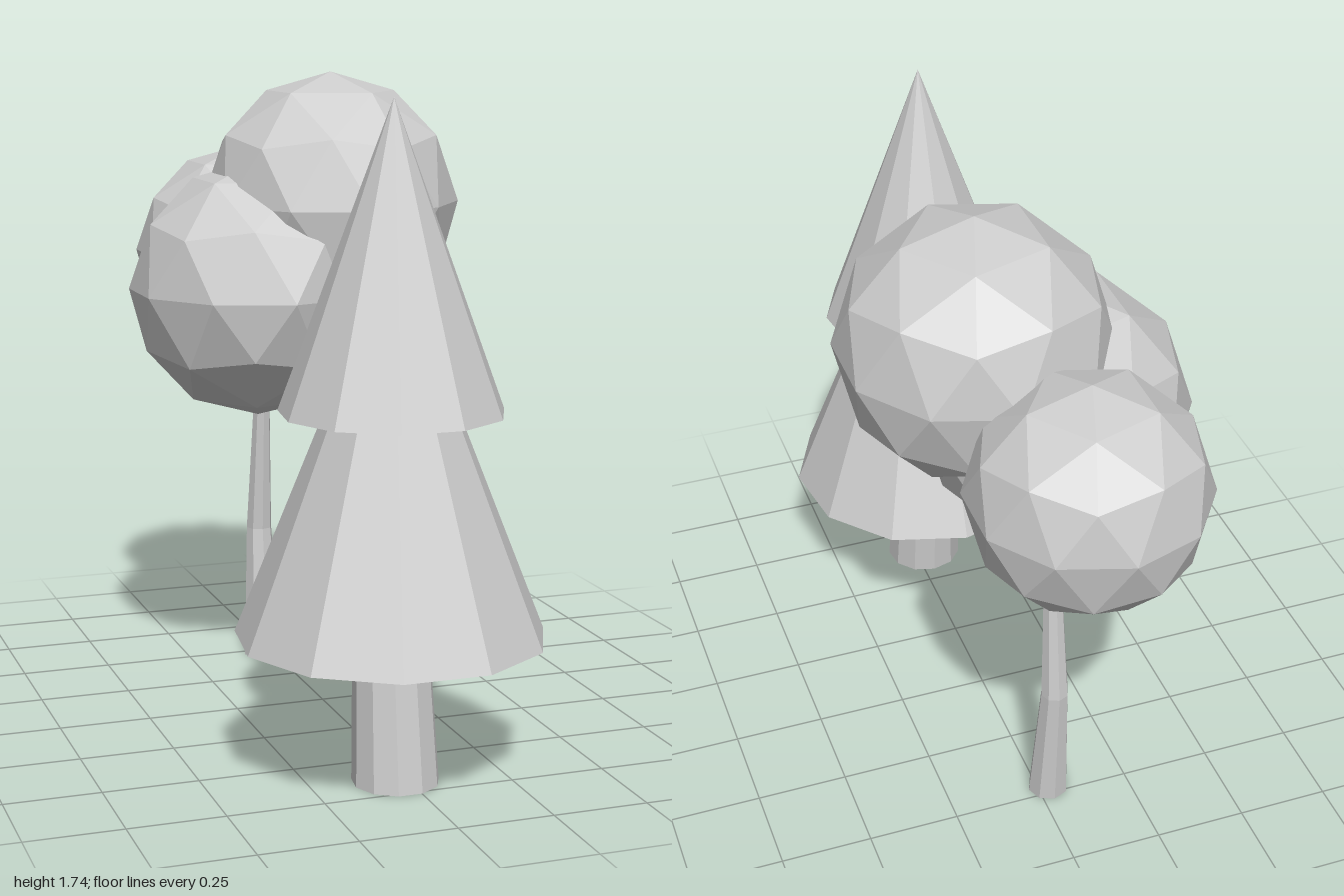
import * as THREE from 'three';

const material = new THREE.MeshStandardMaterial({ color: 0xcccccc, flatShading: true });

function addMesh(parent, name, geometry) {
  const mesh = new THREE.Mesh(geometry, material);
  mesh.name = name;
  parent.add(mesh);
  return mesh;
}

// Tapered stem between two points, sheared so both ends stay level
function stem(from, to, r0, r1, sides, open = false) {
  const [x0, y0, z0] = from;
  const [x1, y1, z1] = to;
  const g = new THREE.CylinderGeometry(r1, r0, y1 - y0, sides, 1, open, Math.PI);
  const p = g.attributes.position;
  for (let i = 0; i < p.count; i++) {
    const t = p.getY(i) > 0 ? 1 : 0;
    p.setXYZ(i,
      p.getX(i) + THREE.MathUtils.lerp(x0, x1, t),
      t ? y1 : y0,
      p.getZ(i) + THREE.MathUtils.lerp(z0, z1, t));
  }
  g.computeVertexNormals();
  return g;
}

// Faceted ball with a vertex pointing straight up
function ball(radius) {
  return new THREE.IcosahedronGeometry(radius, 1).rotateZ(-Math.atan(2 / (1 + Math.sqrt(5))));
}

function createPine() {
  const pine = new THREE.Group();
  pine.name = 'pineTree';
  const x = -0.03, z = 0.618;

  addMesh(pine, 'pineTrunk', stem([x, 0, 0.657], [x, 0.4, 0.617], 0.112, 0.097, 11));

  // Two stacked tiers: base radius, base height, tip height
  const tiers = [['lowerTier', 0.396, 0.37, 1.36], ['upperTier', 0.285, 0.94, 1.71]];
  for (const [name, r, base, tip] of tiers) {
    const cone = new THREE.ConeGeometry(r, tip - base, 11, 1, false, Math.PI);
    addMesh(pine, name, cone).position.set(x, (base + tip) / 2, z);
  }
  return pine;
}

function createRoundTree() {
  const tree = new THREE.Group();
  tree.name = 'roundTree';

  // Bent trunk
  const foot = [-0.03, 0, -0.47], bend = [-0.03, 0.385, -0.503], fork = [-0.03, 0.785, -0.468];
  addMesh(tree, 'lowerTrunk', stem(foot, bend, 0.056, 0.038, 8));
  addMesh(tree, 'upperTrunk', stem(bend, fork, 0.038, 0.024, 8));

  // Forked branches reaching into the foliage
  addMesh(tree, 'frontBranch', stem([-0.03, 0.77, -0.468], [-0.02, 0.95, -0.33], 0.02, 0.014, 6));
  addMesh(tree, 'backBranch', stem([-0.03, 0.77, -0.468], [-0.03, 1.02, -0.65], 0.02, 0.014, 6));

  // Foliage balls
  const balls = [
    ['topFoliage', 0.36, [0.105, 1.382, -0.24]],
    ['sideFoliage', 0.36, [-0.112, 1.142, -0.24]],
    ['backFoliage', 0.31, [-0.03, 1.2, -0.688]],
  ];
  for (const [name, r, pos] of balls) addMesh(tree, name, ball(r)).position.set(...pos);
  return tree;
}

export function createModel() {
  const model = new THREE.Group();
  model.name = 'trees';
  model.add(createPine(), createRoundTree());
  return model;
}
